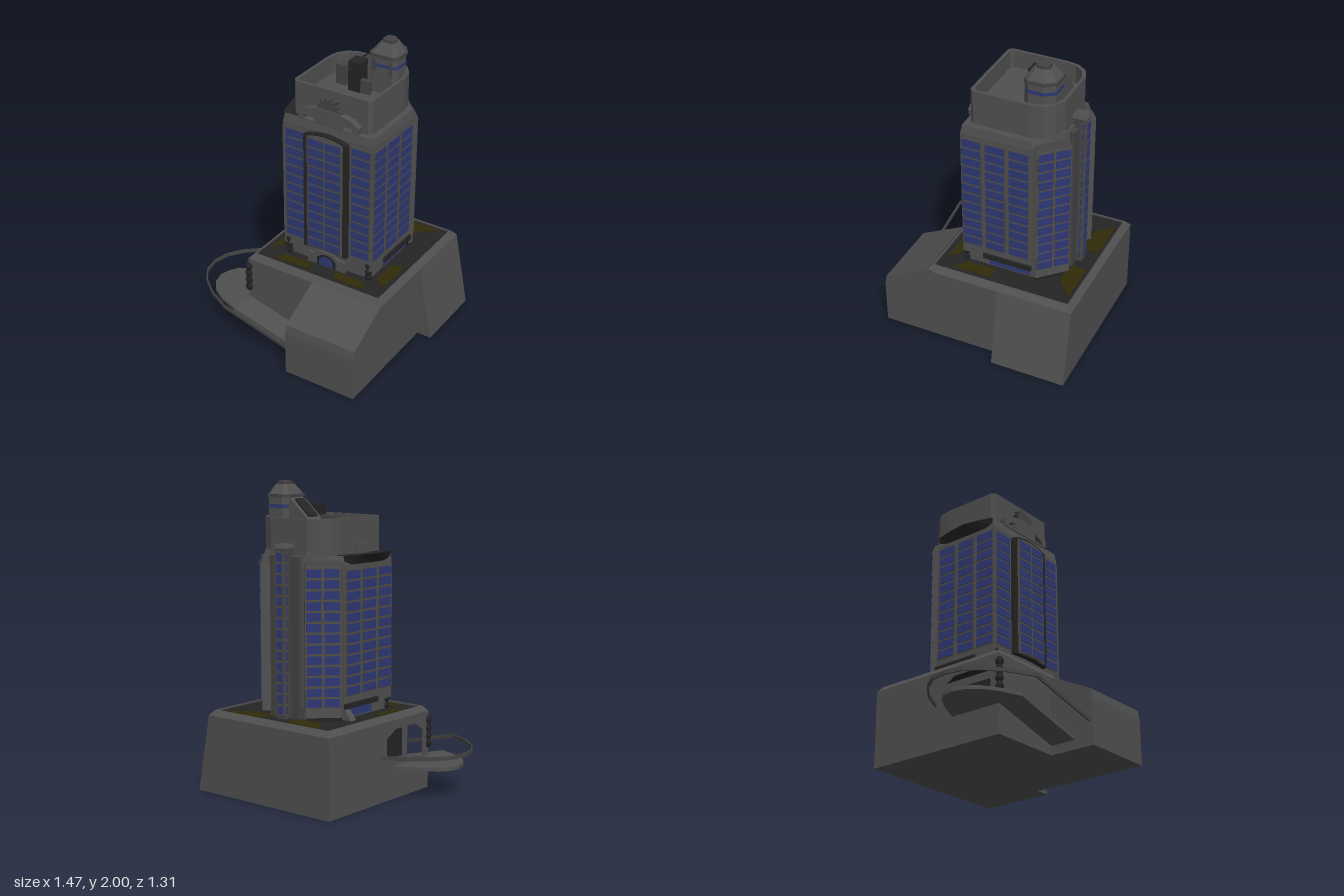
import * as THREE from 'three';
import { mergeGeometries } from 'three/addons/utils/BufferGeometryUtils.js';

const mat = (name, color) => Object.assign(new THREE.MeshStandardMaterial({ color }), { name });

export function createModel() {
  const root = new THREE.Group();
  root.name = 'towerBuilding';
  const stone = mat('stone', 0x505050);
  const trim = mat('trim', 0x434343);
  const dark = mat('darkStone', 0x242424);
  const glass = mat('blueGlass', 0x2e3874);
  const mullion = mat('mullion', 0x504c44);
  const garden = mat('olivePlanting', 0x2f2b08);
  const CX = 0.13; // tower centre line

  const add = (name, geo, material) => {
    const m = new THREE.Mesh(geo, material);
    m.name = name;
    root.add(m);
    return m;
  };
  // box given by its limits
  const box = (name, material, x0, x1, y0, y1, z0, z1) => add(name,
    new THREE.BoxGeometry(x1 - x0, y1 - y0, z1 - z0).translate((x0 + x1) / 2, (y0 + y1) / 2, (z0 + z1) / 2), material);
  const shapeOf = (pts) => new THREE.Shape(pts.map(p => new THREE.Vector2(p[0], p[1])));
  const slab = (shape, depth) => new THREE.ExtrudeGeometry(shape, { depth, bevelEnabled: false, curveSegments: 10 });
  // upright prism on an [x, z] footprint, optional hole, optional rule for the top corners
  const prism = (name, material, pts, y0, y1, { hole, top } = {}) => {
    const shape = shapeOf(pts.map(p => [p[0], -p[1]]));
    if (hole) shape.holes.push(shapeOf(hole.map(p => [p[0], -p[1]])));
    const g = slab(shape, y1 - y0).rotateX(-Math.PI / 2).translate(0, y0, 0);
    if (top) {
      const p = g.attributes.position;
      for (let i = 0; i < p.count; i++) {
        if (p.getY(i) > (y0 + y1) / 2) {
          const [x, z] = top(p.getX(i), p.getZ(i));
          p.setX(i, x); p.setZ(i, z);
        }
      }
      g.computeVertexNormals();
    }
    return add(name, g, material);
  };
  const scaleAbout = (cx, cz, s) => (x, z) => [cx + (x - cx) * s, cz + (z - cz) * s];
  const rect = (x0, x1, z0, z1) => [[x0, z1], [x1, z1], [x1, z0], [x0, z0]];
  // [z, y] profile swept along x
  const sweepX = (name, material, pts, x0, x1, hole) => {
    const shape = shapeOf(pts.map(p => [-p[0], p[1]]));
    if (hole) shape.holes.push(shapeOf(hole.map(p => [-p[0], p[1]])));
    return add(name, slab(shape, x1 - x0).rotateY(Math.PI / 2).translate(x0, 0, 0), material);
  };
  // [x, y] profile swept along z
  const sweepZ = (name, material, pts, z0, z1) =>
    add(name, slab(Array.isArray(pts) ? shapeOf(pts) : pts, z1 - z0).translate(0, 0, z0), material);
  // window grid on the wall that runs from a to b ([x, z], outside on the right-hand side)
  const windows = (name, a, b, cols, y0 = 0.68, y1 = 1.47, rows = 12) => {
    const w = Math.hypot(b[0] - a[0], b[1] - a[1]), h = y1 - y0, panes = [];
    const cw = w / cols, ch = h / rows;
    for (let c = 0; c < cols; c++) for (let r = 0; r < rows; r++) {
      panes.push(new THREE.BoxGeometry(cw - 0.016, ch - 0.015, 0.006)
        .translate((c + 0.5) * cw - w / 2, (r + 0.5) * ch - h / 2, 0.006));
    }
    const place = (g) => g.rotateY(Math.atan2(a[1] - b[1], b[0] - a[0]))
      .translate((a[0] + b[0]) / 2, (y0 + y1) / 2, (a[1] + b[1]) / 2);
    add(name + 'Frame', place(new THREE.BoxGeometry(w, h, 0.009)), mullion);
    add(name + 'Panes', place(mergeGeometries(panes)), glass);
  };
  // turned column with stacked bulges
  const column = (name, material, x, z, y0, y1, r, n) => {
    const pts = [new THREE.Vector2(0, 0)];
    for (let i = 0; i <= n * 6; i++) {
      pts.push(new THREE.Vector2(r * (0.6 + 0.4 * Math.abs(Math.sin(i / 6 * Math.PI))), i / (n * 6) * (y1 - y0)));
    }
    pts.push(new THREE.Vector2(0, y1 - y0));
    add(name, new THREE.LatheGeometry(pts, 12).translate(x, y0, z), material);
  };

  // --- podium, with a recess in its west wall
  box('podium', stone, -0.2, 0.635, 0, 0.51, -0.655, 0.345);
  sweepX('podiumWestWall', stone, [[0.345, 0], [0.345, 0.51], [-0.655, 0.51], [-0.655, 0]], -0.37, -0.2,
    [[0.28, 0.2], [0.28, 0.4], [0.2, 0.45], [0, 0.45], [-0.09, 0.4], [-0.09, 0.2]]);
  box('recessBack', dark, -0.207, -0.199, 0.2, 0.45, -0.09, 0.28);
  const rimHole = rect(-0.33, 0.595, -0.615, 0.305);
  prism('podiumRim', stone, rect(-0.37, 0.635, -0.655, 0.345), 0.51, 0.545, {
    hole: rimHole,
    top: (x, z) => [Math.min(0.605, Math.max(-0.34, x)), Math.min(0.315, Math.max(-0.625, z))],
  });
  prism('podiumFloor', dark, rimHole, 0.505, 0.535);
  sweepX('frontBlock', stone, [[0.3, 0], [0.655, 0], [0.655, 0.3], [0.645, 0.36], [0.325, 0.52], [0.3, 0.52]], 0.13, 0.635);
  sweepZ('eastButtress', stone, [[0.63, 0], [0.735, 0], [0.635, 0.51], [0.63, 0.51]], -0.655, -0.155);
  column('cornerPost', dark, -0.365, 0.345, 0.27, 0.48, 0.026, 4);

  // planted beds on the podium
  const beds = [
    [[-0.26, -0.59], [0.045, -0.59], [0.035, -0.475], [-0.14, -0.475]],
    [[0.23, -0.59], [0.53, -0.59], [0.4, -0.475], [0.23, -0.475]],
    [[-0.295, -0.075], [-0.25, -0.07], [-0.25, 0.13], [-0.295, 0.18]],
    [[0.475, -0.07], [0.555, -0.075], [0.555, 0.18], [0.475, 0.13]],
    [[-0.15, 0.2], [0.04, 0.2], [0.04, 0.268], [-0.215, 0.268]],
    [[0.225, 0.2], [0.41, 0.2], [0.47, 0.268], [0.225, 0.268]],
  ];
  beds.forEach((b) => prism('plantingBed', garden, b, 0.535, 0.541));

  // --- round terrace, ramp and rail
  prism('terrace', stone, [[-0.36, -0.02], [-0.51, 0.05], [-0.62, 0.12], [-0.66, 0.18], [-0.68, 0.25],
    [-0.66, 0.33], [-0.61, 0.4], [-0.52, 0.46], [-0.37, 0.515], [-0.36, 0.345]], 0.19, 0.213);
  sweepZ('ramp', stone, [[-0.37, 0.19], [0.13, 0.06], [0.13, 0.088], [-0.37, 0.213]], 0.34, 0.517);
  const rail = [[-0.37, -0.15], [-0.525, -0.07], [-0.64, 0.03], [-0.71, 0.13], [-0.732, 0.24], [-0.71, 0.35],
    [-0.64, 0.45], [-0.53, 0.54], [-0.37, 0.622], [0.13, 0.627]].map((p, i) => new THREE.Vector3(p[0], i < 9 ? 0.293 : 0.165, p[1]));
  for (let i = 0; i < rail.length - 1; i++) {
    const g = new THREE.BoxGeometry(0.01, 0.024, rail[i].distanceTo(rail[i + 1]) + 0.003);
    const m = add('terraceRail', g, trim);
    m.position.lerpVectors(rail[i], rail[i + 1], 0.5);
    m.lookAt(rail[i + 1]);
  }

  // --- tower shaft and lobby
  const shaft = [[-0.2, 0.165], [0.46, 0.165], [0.46, -0.31], [0.3, -0.46], [-0.04, -0.46], [-0.2, -0.31]];
  prism('lobby', stone, shaft.map(p => scaleAbout(CX, -0.15, 0.93)(...p)), 0.53, 0.62);
  prism('shaft', stone, shaft, 0.61, 1.5);
  prism('shaftFrieze', stone, shaft, 1.5, 1.555, { top: scaleAbout(CX, -0.15, 0.97) });
  windows('frontRight', [-0.185, 0.165], [-0.04, 0.165], 1);
  windows('frontLeft', [0.3, 0.165], [0.445, 0.165], 1);
  for (let i = 0; i < 3; i++) {
    const z = 0.165 - i * 0.158;
    windows('east', [0.46, z], [0.46, z - 0.142], 1);
    windows('west', [-0.2, z - 0.142], [-0.2, z], 1);
  }

  // projecting front bay with arched head
  const arch = (x0, x1, y0, y1, rise) => {
    const s = new THREE.Shape();
    s.moveTo(x0, y0);
    s.quadraticCurveTo((x0 + x1) / 2, y0 + 0.02, x1, y0);
    s.lineTo(x1, y1);
    s.quadraticCurveTo((x0 + x1) / 2, y1 + rise, x0, y1);
    return s;
  };
  sweepZ('frontBayFrame', dark, arch(-0.028, 0.288, 0.66, 1.475, 0.06), 0.16, 0.198);
  sweepZ('frontBayPanel', stone, arch(0, 0.26, 0.67, 1.47, 0.045), 0.19, 0.202);
  windows('frontBay', [0.005, 0.203], [0.255, 0.203], 2);

  // entrance
  sweepZ('entranceGable', stone, [[-0.01, 0.53], [0.27, 0.53], [0.27, 0.61], [0.22, 0.615], [0.18, 0.64],
    [0.08, 0.64], [0.04, 0.615], [-0.01, 0.61]], 0.12, 0.18);
  sweepZ('entranceArch', dark, arch(0.06, 0.2, 0.535, 0.59, 0.07), 0.18, 0.184);
  sweepZ('entranceDoor', glass, arch(0.078, 0.182, 0.535, 0.58, 0.06), 0.184, 0.188);

  // parts mirrored about the centre line
  for (const s of [-1, 1]) {
    const X = (d) => CX + s * d;
    const span = (a, b) => (s > 0 ? [X(a), X(b)] : [X(b), X(a)]);
    column('cornerColumn', dark, X(0.3), 0.15, 0.535, 0.66, 0.024, 3);
    box('sideCanopy', dark, ...span(0.29, 0.345), 0.605, 0.638, -0.31, 0.02);
    box('lobbyWindow', glass, ...span(0.3, 0.312), 0.545, 0.602, -0.29, -0.01);
    // chamfered rear bay
    const bay = [[X(0.33), -0.31], [X(0.337), -0.345], [X(0.18), -0.5], [X(0.14), -0.46]];
    const ring = s > 0 ? bay : bay.slice().reverse();
    prism('rearBay', stone, ring, 0.56, 1.5);
    prism('rearBayCap', trim, ring, 1.5, 1.53, { top: scaleAbout(X(0.2), -0.36, 0.85) });
    prism('rearBayFoot', dark, ring.map(p => scaleAbout(X(0.24), -0.38, 0.9)(...p)), 0.53, 0.57);
    const [a, b] = s > 0 ? [bay[1], bay[2]] : [bay[2], bay[1]];
    windows('rearBay', a, b, 2, 0.62, 1.49, 13);
    box('rearPilaster', trim, ...span(0.06, 0.115), 0.53, 1.55, -0.49, -0.44);
    // bracket beside the crown
    prism('bayBracket', stone, rect(...span(0.15, 0.2), -0.47, -0.42), 1.5, 1.58, { top: scaleAbout(X(0.15), -0.4, 0.7) });
  }

  // rear fin
  box('rearFin', trim, 0.095, 0.165, 0.53, 1.61, -0.525, -0.44);
  prism('rearFinCap', stone, rect(0.088, 0.172, -0.53, -0.43), 1.6, 1.625, { top: scaleAbout(CX, -0.47, 0.8) });
  windows('rearFinBack', [0.16, -0.525], [0.1, -0.525], 1, 0.56, 1.58, 15);
  windows('rearFinEast', [0.165, -0.498], [0.165, -0.524], 1, 0.56, 1.58, 15);
  windows('rearFinWest', [0.095, -0.524], [0.095, -0.498], 1, 0.56, 1.58, 15);

  // bowed cornice and buttress on the west side
  prism('westCornice', dark, [[-0.19, -0.3], [-0.205, -0.2], [-0.21, -0.05], [-0.205, 0.05], [-0.19, 0.15], [-0.1, 0.15], [-0.1, -0.3]],
    1.5, 1.558, { top: (x, z) => [x < -0.18 ? x - 0.045 * (1 - Math.abs(z + 0.07) / 0.35) : x, z] });
  box('westVent', stone, -0.175, -0.14, 1.55, 1.62, -0.15, -0.04);
  sweepZ('westButtress', stone, [[-0.25, 0.535], [-0.17, 0.535], [-0.17, 0.62], [-0.2, 0.6]], -0.3, -0.25);

  // --- hollow crown
  const crown = [[-0.15, 0.1], [-0.13, 0.125], [0.39, 0.125], [0.413, 0.1], [0.413, -0.27], [0.395, -0.35], [0.35, -0.41],
    [0.28, -0.44], [-0.02, -0.44], [-0.09, -0.41], [-0.135, -0.35], [-0.15, -0.27]];
  const inner = crown.map(p => scaleAbout(CX, -0.157, 0.93)(...p));
  prism('crownWall', stone, crown, 1.54, 1.78, { hole: inner });
  prism('roofFloor', stone, inner, 1.55, 1.66);

  // pediment with toothed half wheel
  const pediment = shapeOf([[-0.08, 1.55], [0.34, 1.55], [0.35, 1.6], [0.3, 1.635], [0.2, 1.66], [0.06, 1.66], [-0.04, 1.635], [-0.09, 1.6]]);
  for (const s of [-1, 1]) {
    const pts = [[0.1, 1.562], [0.18, 1.562], [0.165, 1.59], [0.1, 1.612]].map(p => [CX + s * p[0], p[1]]);
    pediment.holes.push(shapeOf(pts));
  }
  sweepZ('pediment', stone, pediment, 0.12, 0.165);
  const wheel = [];
  for (let i = 0; i <= 28; i++) {
    const a = i / 28 * Math.PI, r = i % 4 < 2 ? 0.092 : 0.07;
    wheel.push([CX + r * Math.cos(a), 1.655 + r * Math.sin(a)]);
  }
  sweepZ('toothedWheel', trim, wheel, 0.12, 0.158);

  // --- rooftop turret and plant
  const turret = [[0.19, -0.24], [0.21, -0.215], [0.35, -0.215], [0.375, -0.24], [0.375, -0.34], [0.33, -0.4], [0.22, -0.4], [0.19, -0.37]];
  const mid = [0.283, -0.305];
  const grown = (k) => turret.map(p => scaleAbout(...mid, k)(...p));
  prism('turret', stone, turret, 1.65, 1.9);
  prism('turretWindowBand', glass, grown(1.02), 1.835, 1.857);
  box('turretWindowFrame', trim, 0.215, 0.235, 1.8, 1.885, -0.25, -0.208);
  box('turretWindowFrame', trim, 0.33, 0.35, 1.8, 1.885, -0.25, -0.208);
  prism('turretCornice', trim, grown(1.1), 1.9, 1.92);
  prism('turretDome', stone, grown(1.0), 1.92, 1.98, { top: scaleAbout(...mid, 0.55) });
  prism('turretLid', trim, grown(0.42), 1.98, 2.0);
  sweepZ('slopedHousing', stone, [[-0.04, 1.65], [0.2, 1.65], [0.2, 1.9], [0.17, 1.89], [0.04, 1.775]], -0.37, -0.235);
  sweepZ('slopedHousingFrame', dark, [[0.05, 1.77], [0.16, 1.87], [0.16, 1.895], [0.05, 1.795]], -0.345, -0.26);
  box('plantBox', dark, 0.08, 0.165, 1.65, 1.86, -0.235, -0.145);
  box('plantDuct', trim, 0.165, 0.23, 1.65, 1.75, -0.18, -0.15);
  box('smallPlantBox', trim, -0.035, 0.035, 1.65, 1.795, -0.25, -0.185);
  return root;
}
